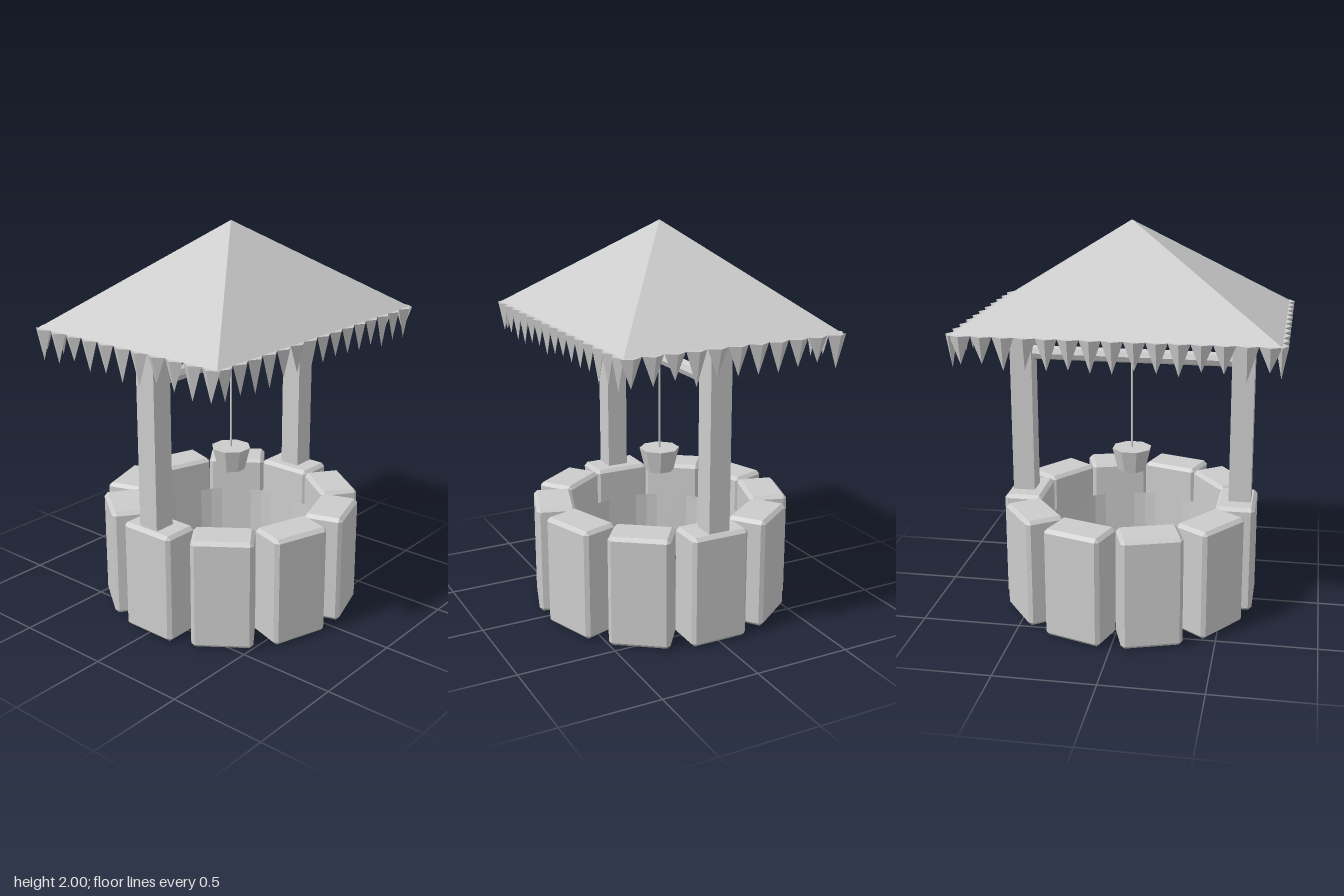
import * as THREE from 'three';
import { ConvexGeometry } from 'three/addons/geometries/ConvexGeometry.js';

// Box with all edges chamfered by b, centred on the origin
function chamferedBox(w, h, d, b) {
  const pts = [];
  for (const sx of [-1, 1]) for (const sy of [-1, 1]) for (const sz of [-1, 1]) {
    const x = w / 2, y = h / 2, z = d / 2;
    pts.push(new THREE.Vector3(sx * x, sy * (y - b), sz * (z - b)));
    pts.push(new THREE.Vector3(sx * (x - b), sy * y, sz * (z - b)));
    pts.push(new THREE.Vector3(sx * (x - b), sy * (y - b), sz * z));
  }
  return new ConvexGeometry(pts);
}

export function createModel() {
  const model = new THREE.Group();
  model.name = 'well';
  const grey = new THREE.MeshStandardMaterial({ color: 0xcccccc, flatShading: true, side: THREE.DoubleSide });
  grey.name = 'plainGrey';

  let seed = 7;
  const rand = () => (seed = (seed * 16807) % 2147483647) / 2147483647;

  function add(name, geometry, x = 0, y = 0, z = 0, parent = model) {
    const mesh = new THREE.Mesh(geometry, grey);
    mesh.name = name;
    mesh.position.set(x, y, z);
    parent.add(mesh);
    return mesh;
  }

  // Ring of ten stone blocks
  const wall = new THREE.Group();
  wall.name = 'stoneWall';
  model.add(wall);
  const block = chamferedBox(0.2, 0.57, 0.306, 0.018);
  for (let i = 0; i < 10; i++) {
    const a = (i / 10) * Math.PI * 2;
    add('stoneBlock', block, Math.cos(a) * 0.555, 0.285, Math.sin(a) * 0.555, wall).rotation.y = -a;
  }

  // Open lining inside the ring
  add('shaftLining', new THREE.CylinderGeometry(0.465, 0.465, 0.35, 30, 1, true), 0, 0.215, 0);

  // Posts on both sides
  for (const s of [-1, 1]) {
    add(s > 0 ? 'leftPost' : 'rightPost', new THREE.BoxGeometry(0.114, 1.03, 0.112), s * 0.572, 1.075, 0);
  }

  // Crossbeam, rope and bucket
  const beam = new THREE.CylinderGeometry(0.037, 0.037, 1.04, 8);
  beam.rotateZ(Math.PI / 2);
  add('crossbeam', beam, 0, 1.31, 0);
  add('rope', new THREE.CylinderGeometry(0.005, 0.005, 0.48, 6), 0, 1.05, 0);
  add('bucket', new THREE.CylinderGeometry(0.104, 0.074, 0.12, 8), 0, 0.76, 0).rotation.y = Math.PI / 8;

  // Hollow pyramid roof
  const halfX = 0.772, halfZ = 0.57, eaves = 1.515;
  const roof = new THREE.CylinderGeometry(0, Math.SQRT2, 2 - eaves, 4, 1, true);
  roof.rotateY(Math.PI / 4);
  roof.scale(halfX, 1, halfZ);
  add('roof', roof, 0, (2 + eaves) / 2, 0);

  // Hanging spikes with a diamond section along all four eaves
  const fringe = new THREE.Group();
  fringe.name = 'roofFringe';
  model.add(fringe);
  function spike(x, z, turn) {
    const length = 0.12 + rand() * 0.05;
    const g = new THREE.ConeGeometry(1, length, 4);
    g.rotateX(Math.PI);
    g.scale(0.052, 1, 0.03);
    add('spike', g, x, eaves - length / 2, z, fringe).rotation.y = turn;
  }
  for (const s of [-1, 1]) {
    for (let i = 0; i < 15; i++) spike((i - 7) * 0.103, s * halfZ, 0);
    for (let i = 0; i < 11; i++) spike(s * halfX, (i - 5) * 0.107, Math.PI / 2);
  }

  return model;
}
